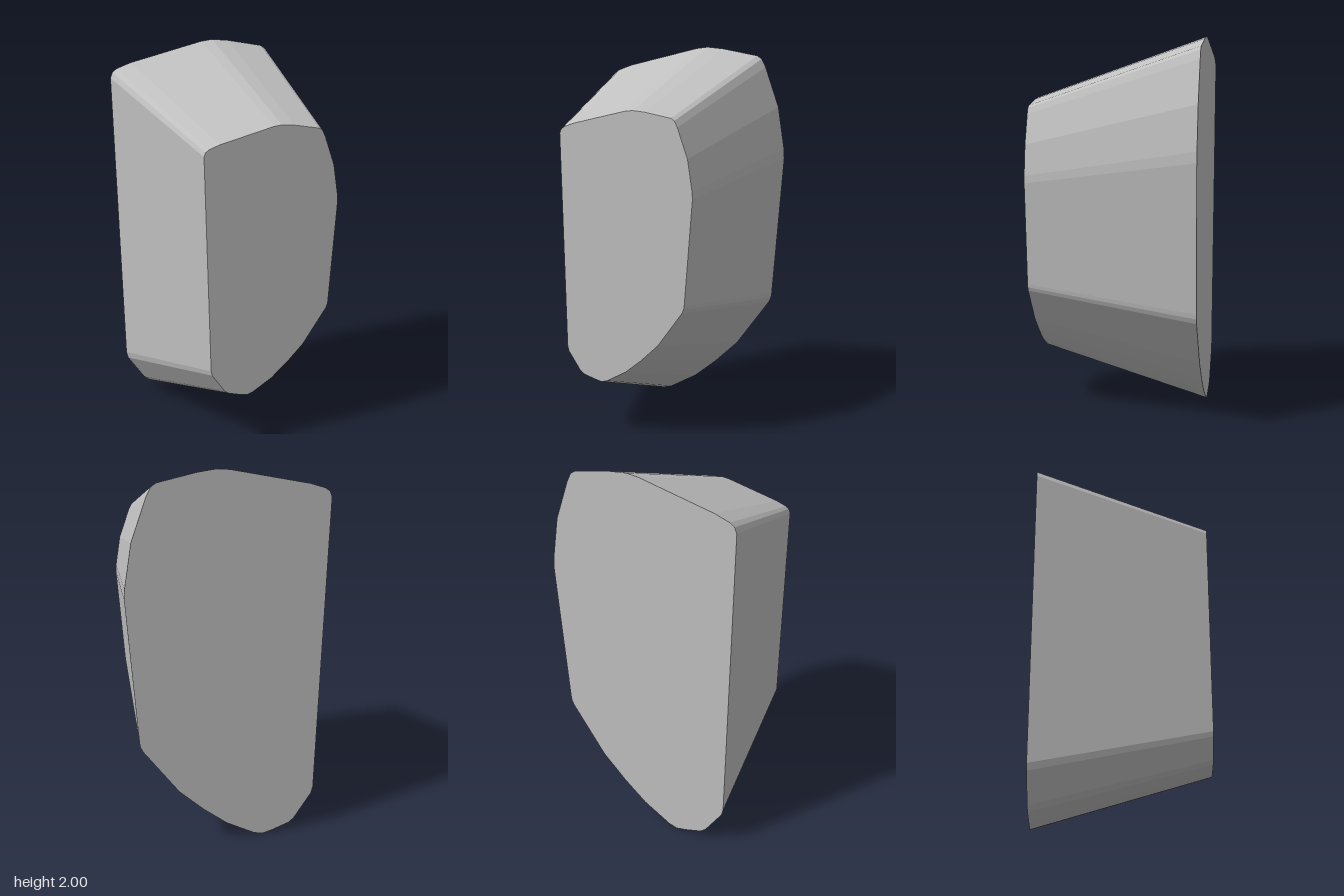
import * as THREE from 'three';

const DEPTH = 0.895;   // back to front
const TAPER = 0.7;     // front face size relative to the back
const CENTRE_Y = 0.95; // height the taper converges towards

// Outline of the large back face, clockwise from the upper left corner
const OUTLINE = [
  [-0.527, 1.825], [-0.515, 1.855], [-0.49, 1.873], [-0.41, 1.9],
  [0, 1.993], [0.065, 2], [0.16, 1.99],
  [0.36, 1.952], [0.387, 1.935], [0.41, 1.89],
  [0.487, 1.675], [0.523, 1.45], [0.526, 1.395],
  [0.466, 0.635], [0.462, 0.61], [0.45, 0.583],
  [0.26, 0.325], [0.127, 0.2], [0, 0.098],
  [-0.153, 0.013], [-0.2, 0], [-0.254, 0.012],
  [-0.35, 0.042], [-0.38, 0.066], [-0.476, 0.204], [-0.485, 0.24],
];

export function createModel() {
  const group = new THREE.Group();
  group.name = 'taperedStone';
  const stoneGrey = new THREE.MeshStandardMaterial({ color: 0xc0c0c0 });
  stoneGrey.name = 'stoneGrey';

  // Straight block from the outline
  const shape = new THREE.Shape(OUTLINE.map(([x, y]) => new THREE.Vector2(x, y)));
  const geometry = new THREE.ExtrudeGeometry(shape, { depth: DEPTH, bevelEnabled: false });

  // Shrink the front end so that all sides slope inwards
  const pos = geometry.attributes.position;
  for (let i = 0; i < pos.count; i++) {
    const s = THREE.MathUtils.lerp(1, TAPER, pos.getZ(i) / DEPTH);
    pos.setX(i, pos.getX(i) * s);
    pos.setY(i, CENTRE_Y + (pos.getY(i) - CENTRE_Y) * s);
  }
  geometry.translate(0, 0, -DEPTH / 2);
  geometry.computeVertexNormals();

  const stone = new THREE.Mesh(geometry, stoneGrey);
  stone.name = 'stone';
  group.add(stone);
  return group;
}
